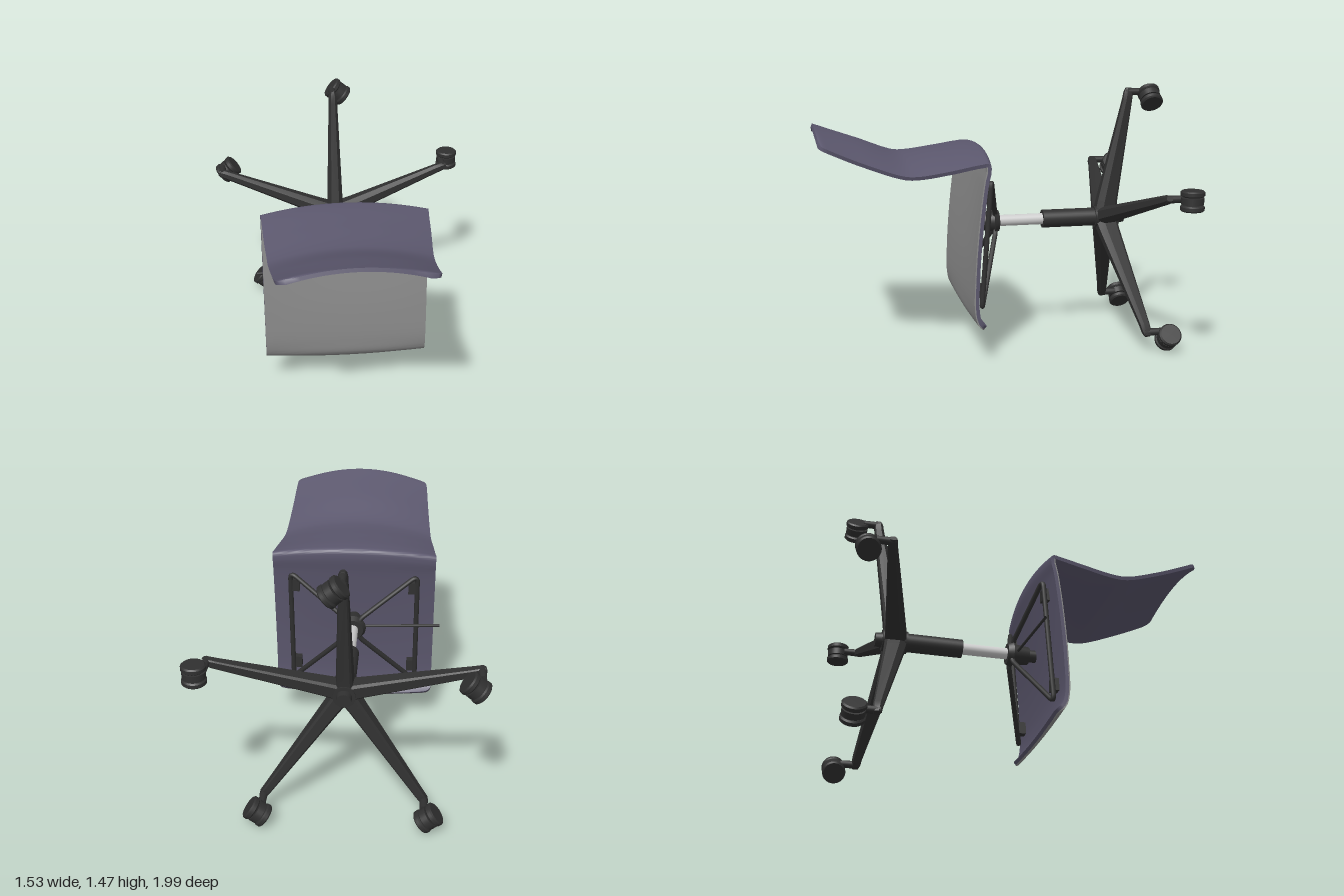
import * as THREE from 'three';
import { toCreasedNormals } from 'three/addons/utils/BufferGeometryUtils.js';

const CX = -0.035, CY = 0.705; // chair axis, running along z
const mat = (color) => new THREE.MeshStandardMaterial({ color, side: THREE.DoubleSide });
const V = (x, y, z) => new THREE.Vector3(x, y, z);

function add(parent, name, geo, material, x = 0, y = 0, z = 0) {
  const m = new THREE.Mesh(geo, material);
  m.name = name;
  m.position.set(x, y, z);
  parent.add(m);
  return m;
}

// Skin closed rings of points; the ends are closed by pairing opposite points
function loft(rings, crease) {
  const M = rings[0].length, pos = [], idx = [];
  rings.forEach((r) => r.forEach((p) => pos.push(p.x, p.y, p.z)));
  for (let r = 0; r < rings.length - 1; r++)
    for (let i = 0; i < M; i++) {
      const j = (i + 1) % M, a = r * M + i, b = r * M + j, c = a + M, d = b + M;
      idx.push(a, b, d, a, d, c);
    }
  const e = (rings.length - 1) * M;
  for (let i = 0; i < M / 2 - 1; i++) {
    const f = i, g = i + 1, h = M - 1 - i, k = M - 2 - i;
    idx.push(f, h, g, g, h, k, e + f, e + g, e + h, e + g, e + k, e + h);
  }
  const geo = new THREE.BufferGeometry();
  geo.setAttribute('position', new THREE.Float32BufferAttribute(pos, 3));
  geo.setIndex(idx);
  return toCreasedNormals(geo, crease);
}

// Cylinder along z between two depths
function rodZ(r0, r1, z0, z1, seg = 32) {
  return new THREE.CylinderGeometry(r1, r0, z1 - z0, seg).rotateX(Math.PI / 2).translate(0, 0, (z0 + z1) / 2);
}

// Shell rows: centre z, centre y, edge z, edge y, half width
const ROWS = [
  [0.105, 0.185, 0.108, 0.205, 0.455], [0.143, 0.225, 0.14, 0.235, 0.46], [0.153, 0.3, 0.158, 0.3, 0.46],
  [0.147, 0.5, 0.156, 0.5, 0.46], [0.12, 0.75, 0.138, 0.75, 0.46], [0.083, 1.0, 0.108, 1.0, 0.46],
  [0.064, 1.11, 0.094, 1.07, 0.46], [0.07, 1.143, 0.098, 1.1, 0.46], [0.12, 1.148, 0.14, 1.097, 0.455],
  [0.3, 1.13, 0.3, 1.066, 0.445], [0.46, 1.113, 0.46, 1.042, 0.432], [0.54, 1.116, 0.54, 1.045, 0.427],
  [0.75, 1.192, 0.75, 1.115, 0.412], [0.92, 1.25, 0.91, 1.182, 0.402], [0.99, 1.275, 0.975, 1.212, 0.396],
];
const SEG = ROWS.length - 1;
const centre = new THREE.CatmullRomCurve3(ROWS.map((r) => V(r[4], r[1], r[0])));
const edge = new THREE.CatmullRomCurve3(ROWS.map((r) => V(r[4], r[3], r[2])));

function shellPoint(u, v) {
  const p = centre.getPoint(v).lerp(edge.getPoint(v), u * u);
  const d = Math.min(v * SEG * 0.055, (1 - v) * SEG * 0.075), R = 0.045;
  const inset = d < R ? R - Math.sqrt(R * R - (R - d) ** 2) : 0;
  return V(CX + u * (p.x - inset), p.y, p.z);
}

function shellNormal(u, v) {
  const h = 0.004, v0 = Math.max(v - h, 0), v1 = Math.min(v + h, 1);
  const uc = u * 0.98;
  const du = shellPoint(uc + 0.01, v).sub(shellPoint(uc - 0.01, v));
  const dv = centre.getPoint(v1).lerp(edge.getPoint(v1), u * u).sub(centre.getPoint(v0).lerp(edge.getPoint(v0), u * u));
  dv.x = 0;
  return du.cross(dv).normalize();
}

// Curved sheet between two offsets from the shell's middle surface
function sheet(vEnd, front, back) {
  const N = 20, rows = Math.round(vEnd * SEG * 8), rings = [];
  for (let r = 0; r <= rows; r++) {
    const v = (r / rows) * vEnd, f = [], b = [];
    for (let i = 0; i <= N; i++) {
      const u = (i / N) * 2 - 1, p = shellPoint(u, v), n = shellNormal(u, v);
      f.push(p.clone().addScaledVector(n, front));
      b.unshift(p.clone().addScaledVector(n, back));
    }
    rings.push([...f, ...b]);
  }
  return loft(rings, 0.7);
}

// Closed path of straight runs with rounded corners
function roundedLoop(pts, r) {
  const path = new THREE.CurvePath(), n = pts.length;
  const toward = (a, b) => a.clone().add(b.clone().sub(a).setLength(r));
  pts.forEach((p, i) => {
    const prev = pts[(i + n - 1) % n], next = pts[(i + 1) % n];
    path.add(new THREE.QuadraticBezierCurve3(toward(p, prev), p, toward(p, next)));
    path.add(new THREE.LineCurve3(toward(p, next), toward(next, p)));
  });
  return path;
}

export function createModel() {
  const model = new THREE.Group();
  model.name = 'swivelChair';
  const purple = mat(0x5b576d), grey = mat(0x8a8a8a), black = mat(0x303030), steel = mat(0xcccccc);

  // Seat and backrest in one bent shell, with a thin pad on the seat
  add(model, 'shell', sheet(1, 0.01, -0.01), purple);
  add(model, 'seatPad', sheet(7 / SEG, 0.016, 0.009), grey);

  // Wire supports under the seat, with mounting brackets
  for (const s of [-1, 1]) {
    const loop = roundedLoop([
      V(CX + s * 0.03, 0.755, -0.025), V(CX + s * 0.36, 1.005, 0.065),
      V(CX + s * 0.36, 0.285, 0.118), V(CX + s * 0.03, 0.655, -0.03),
    ], 0.045);
    add(model, 'supportRod', new THREE.TubeGeometry(loop, 160, 0.014, 10, true), black);
    for (const [y, z] of [[0.92, 0.085], [0.39, 0.128]])
      add(model, 'bracket', new THREE.BoxGeometry(0.05, 0.07, 0.045), black, CX + s * 0.335, y, z);
  }

  // Tilt mechanism and lever
  add(model, 'mechanism', rodZ(0.062, 0.05, -0.03, 0.075), black, CX, CY);
  add(model, 'mechanismPost', rodZ(0.035, 0.035, 0.07, 0.125), black, CX, CY);
  add(model, 'mechanismFlange', rodZ(0.06, 0.075, -0.05, -0.02), black, CX, CY);
  const lever = new THREE.LineCurve3(V(CX, CY, 0), V(-0.53, CY, 0.037));
  add(model, 'lever', new THREE.TubeGeometry(lever, 1, 0.008, 10), black);

  // Gas lift and hub
  add(model, 'piston', rodZ(0.032, 0.032, -0.32, -0.04), steel, CX, CY);
  add(model, 'liftSleeve', rodZ(0.052, 0.052, -0.64, -0.31), black, CX, CY);
  add(model, 'hub', rodZ(0.06, 0.062, -0.76, -0.62), black, CX, CY);
  add(model, 'hubCap', rodZ(0.038, 0.042, -0.797, -0.755), black, CX, CY);

  // Five tapered legs: radius, front z, back z, half width
  const sections = [[0.02, -0.622, -0.748, 0.052], [0.1, -0.64, -0.755, 0.047], [0.68, -0.782, -0.835, 0.026],
    [0.725, -0.79, -0.838, 0.024], [0.748, -0.8, -0.832, 0.014]];
  const legGeo = loft(sections.map(([r, zf, zb, w]) => {
    const c = (zf - zb) * 0.3;
    const front = [V(-w, r, zf - c), V(-w * 0.5, r, zf), V(w * 0.5, r, zf), V(w, r, zf - c)];
    const back = [V(w * 0.85, r, zb + c * 0.4), V(w * 0.6, r, zb), V(-w * 0.6, r, zb), V(-w * 0.85, r, zb + c * 0.4)];
    return [...front, ...back];
  }), 0.4);
  const wheelGeo = toCreasedNormals(new THREE.LatheGeometry([[0, -0.016], [0.056, -0.016], [0.064, -0.009], [0.064, 0.009],
    [0.056, 0.016], [0, 0.016]].map((p) => new THREE.Vector2(...p)), 32), 0.5);

  // Swivel angle and centre of each caster, counter-clockwise from the top leg
  const casters = [[50, 0.003, 1.4], [-50, -0.69, 0.9], [51, -0.487, 0.09], [-54, 0.412, 0.087], [0, 0.695, 0.925]];
  casters.forEach(([deg, x, y], k) => {
    const a = (k * 2 * Math.PI) / 5;
    add(model, 'leg', legGeo, black, CX, CY).rotation.z = a;
    const sx = CX - Math.sin(a) * 0.725, sy = CY + Math.cos(a) * 0.725;
    add(model, 'casterStem', rodZ(0.02, 0.022, -0.9, -0.8, 16), black, sx, sy);
    const caster = new THREE.Group();
    caster.name = 'caster';
    caster.position.set(x, y, -0.934);
    caster.rotation.z = THREE.MathUtils.degToRad(deg);
    for (const s of [-1, 1]) add(caster, 'wheel', wheelGeo, black, 0, s * 0.039, 0);
    add(caster, 'casterBody', new THREE.CylinderGeometry(0.06, 0.06, 0.036, 32), black);
    add(caster, 'axle', new THREE.CylinderGeometry(0.012, 0.012, 0.09, 12), black);
    model.add(caster);
  });
  return model;
}
